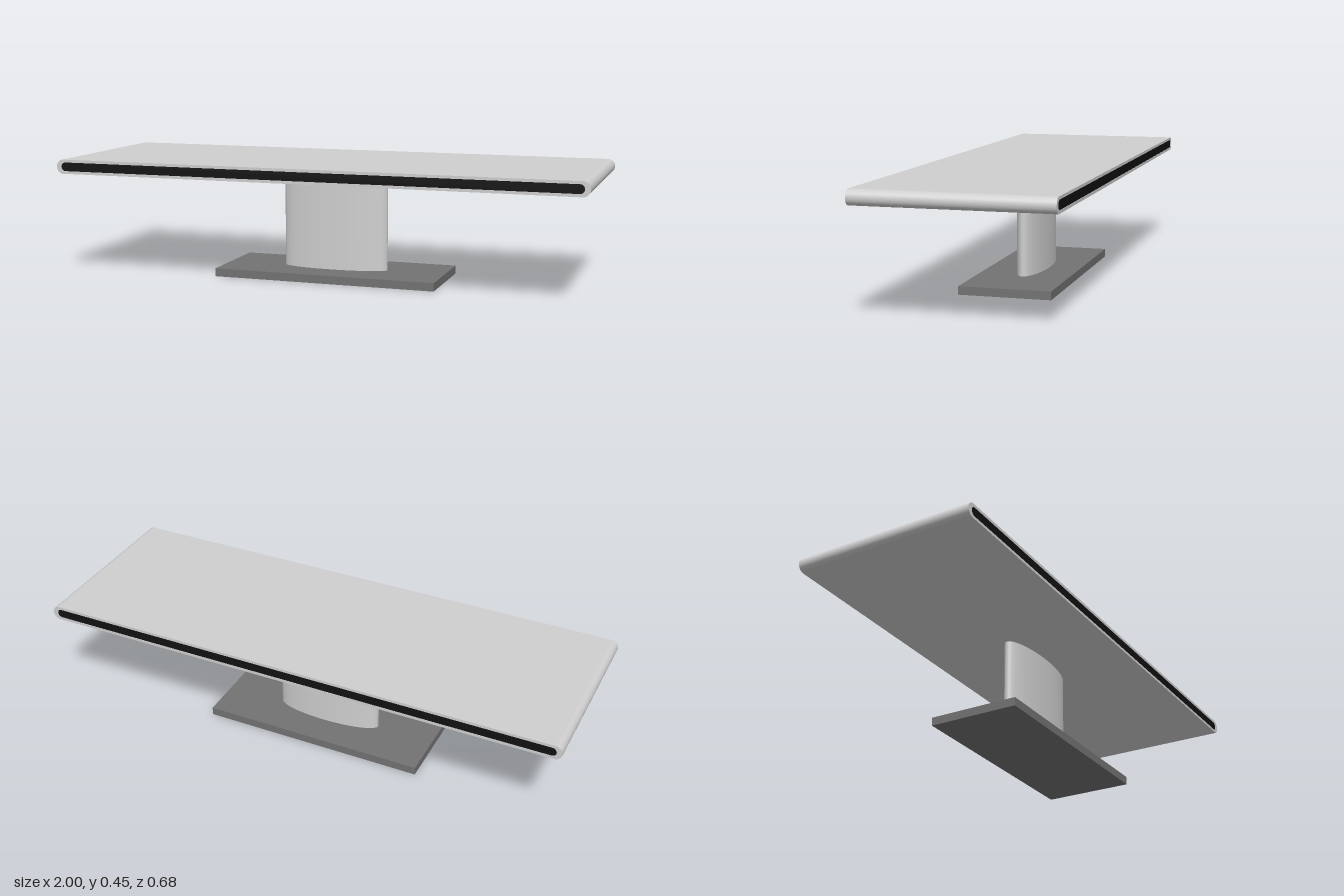
import * as THREE from 'three';

// Capsule outline lying along x, centred on the origin
function capsule(PathType, halfLength, radius) {
  const path = new PathType();
  const c = halfLength - radius;
  path.moveTo(-c, -radius);
  path.lineTo(c, -radius);
  path.absarc(c, 0, radius, -Math.PI / 2, Math.PI / 2, false);
  path.lineTo(-c, radius);
  path.absarc(-c, 0, radius, Math.PI / 2, Math.PI * 1.5, false);
  return path;
}

export function createModel() {
  const lightGrey = new THREE.MeshStandardMaterial({ color: 0xcfcfcf });
  lightGrey.name = 'lightGrey';
  const darkGrey = new THREE.MeshStandardMaterial({ color: 0x737373 });
  darkGrey.name = 'darkGrey';
  const black = new THREE.MeshStandardMaterial({ color: 0x111111 });
  black.name = 'black';

  const group = new THREE.Group();
  const add = (name, geometry, material, y, z = 0) => {
    const mesh = new THREE.Mesh(geometry, material);
    mesh.name = name;
    mesh.position.set(0, y, z);
    group.add(mesh);
    return mesh;
  };

  const halfDepth = 0.341, slabY = 0.419, slabRadius = 0.027;

  // Foot plate
  add('base', new THREE.BoxGeometry(0.856, 0.031, 0.342), darkGrey, 0.0155);

  // Elliptical pedestal
  const columnHeight = 0.364;
  const column = new THREE.CylinderGeometry(1, 1, columnHeight, 40);
  column.scale(0.205, 1, 0.052);
  add('column', column, lightGrey, 0.03 + columnHeight / 2);

  // Round-edged slab, open at the front and back
  const outline = capsule(THREE.Shape, 1, slabRadius);
  outline.holes.push(capsule(THREE.Path, 0.98, 0.0165));
  const slab = new THREE.ExtrudeGeometry(outline, {
    depth: halfDepth * 2, bevelEnabled: false, curveSegments: 16,
  });
  add('slab', slab, lightGrey, slabY, -halfDepth);

  // Black strips filling the two open sides
  for (const side of [1, -1]) {
    const strip = new THREE.ShapeGeometry(capsule(THREE.Shape, 0.98, 0.0165), 16);
    const mesh = add(side > 0 ? 'frontStrip' : 'backStrip', strip, black, slabY, side * (halfDepth - 0.001));
    if (side < 0) mesh.rotation.y = Math.PI;
  }

  return group;
}
